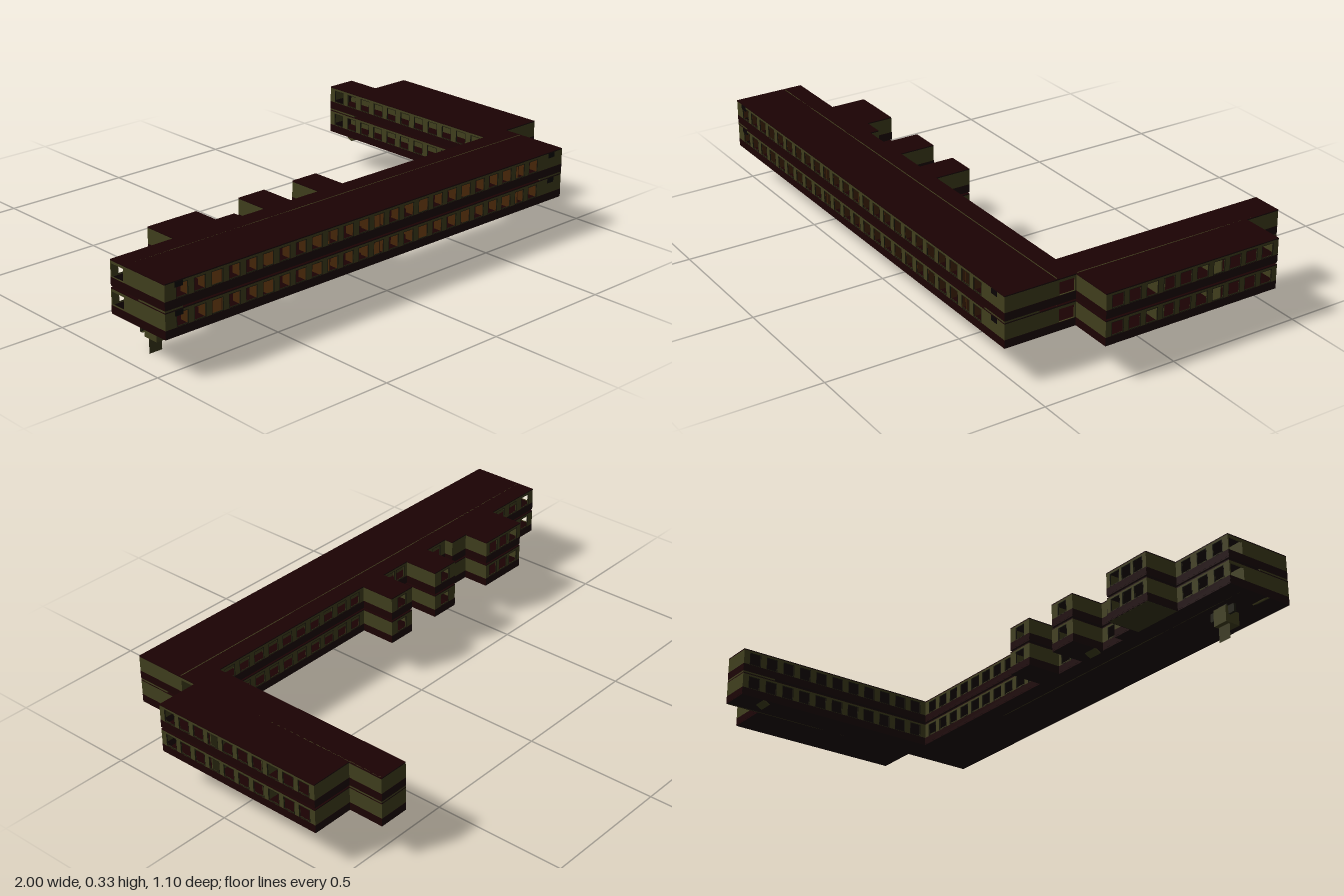
import * as THREE from 'three';

const mat = (name, color, side = THREE.FrontSide) => {
  const m = new THREE.MeshStandardMaterial({ color, side });
  m.name = name;
  return m;
};

export function createModel() {
  const olive = mat('olive wall', 0x403e1d);
  const maroon = mat('dark maroon', 0x1b0203);
  const frameDark = mat('dark frame', 0x1c1a0b);
  const brown = mat('brown wood', 0x452508);
  const black = mat('black vent', 0x0a0404);
  const oliveSheet = mat('olive sheet', 0x38361a, THREE.DoubleSide);

  const model = new THREE.Group();
  model.name = 'schoolBuilding';

  const add = (parent, name, geo, material) => {
    const m = new THREE.Mesh(geo, material);
    m.name = name;
    parent.add(m);
    return m;
  };
  // box given by its minimum and maximum corners
  const box = (parent, name, material, x0, x1, y0, y1, z0, z1) => {
    const m = add(parent, name, new THREE.BoxGeometry(x1 - x0, y1 - y0, z1 - z0), material);
    m.position.set((x0 + x1) / 2, (y0 + y1) / 2, (z0 + z1) / 2);
    return m;
  };
  const rect = (Type, x0, x1, y0, y1) => new Type([[x0, y0], [x1, y0], [x1, y1], [x0, y1]]
    .map(p => new THREE.Vector2(...p)));

  // flat panel with rectangular holes, outer face at z = 0
  const panel = (x0, x1, y0, y1, holes, depth) => {
    const s = rect(THREE.Shape, x0, x1, y0, y1);
    s.holes = holes.map(h => rect(THREE.Path, ...h));
    return new THREE.ExtrudeGeometry(s, { depth, bevelEnabled: false }).translate(0, 0, -depth);
  };

  // outline of the building as x, z, then the kind of wall that starts there
  const outline = [
    [-1, 0.545, 'front'], [0.84, 0.545, 'eastEnd'], [0.84, 0.275, ''], [1, 0.275, 'windows'],
    [1, -0.415, ''], [0.84, -0.415, ''], [0.84, -0.55, ''], [0.725, -0.55, 'windows'],
    [0.725, 0.275, 'windows'], [0, 0.275, ''], [0, 0.14, 'windows'], [-0.11, 0.14, ''],
    [-0.11, 0.275, 'windows'], [-0.24, 0.275, ''], [-0.24, 0.14, 'windows'], [-0.355, 0.14, ''],
    [-0.355, 0.275, 'windows'], [-0.46, 0.275, ''], [-0.46, 0.24, ''], [-0.54, 0.24, ''],
    [-0.54, 0.14, 'windows'], [-0.745, 0.14, ''], [-0.745, 0.275, 'windows'], [-1, 0.275, 'westEnd'],
  ];
  const plan = new THREE.Shape(outline.map(p => new THREE.Vector2(p[0], -p[1])));
  const slab = (parent, name, y, h) => {
    const geo = new THREE.ExtrudeGeometry(plan, { depth: h, bevelEnabled: false });
    add(parent, name, geo.rotateX(-Math.PI / 2), maroon).position.y = y;
  };

  const windowHoles = (start, end, y) => {
    const n = Math.max(1, Math.round((end - start) / 0.07));
    const step = (end - start) / n;
    return Array.from({ length: n }, (_, i) => {
      const c = start + (i + 0.5) * step;
      return [c - 0.023, c + 0.023, y + 0.032, y + 0.078];
    });
  };

  // corridor wall with a few gaps
  const spine = (parent, name, length, y, top, gaps) => {
    const holes = gaps.map(([c, w]) => [c - w / 2, c + w / 2, y + 0.028, y + 0.078]);
    return add(parent, name, panel(0, length, y, top, holes, 0.004), olive);
  };

  const storey = (name, y, top) => {
    const g = new THREE.Group();
    g.name = name;
    model.add(g);
    slab(g, 'floorSlab', y, 0.005);
    slab(g, 'ceilingSlab', top - 0.004, 0.004);

    // outside walls: maroon parapet below, olive wall with windows above
    outline.forEach(([x, z, kind], i) => {
      const [nx, nz] = outline[(i + 1) % outline.length];
      const len = Math.hypot(nx - x, nz - z);
      const wall = new THREE.Group();
      wall.name = 'outsideWall';
      wall.position.set(x, 0, z);
      wall.rotation.y = Math.atan2(z - nz, nx - x);
      g.add(wall);
      let holes = [];
      if (kind === 'front') holes = windowHoles(0.033, len - 0.12, y);
      if (kind === 'windows') holes = windowHoles(0.012, len - 0.012, y);
      box(wall, 'parapet', maroon, 0, len, y + 0.005, y + 0.03, -0.005, 0.0005);
      const frames = holes;
      if (kind === 'eastEnd') holes = [[len - 0.065, len - 0.005, y + 0.031, y + 0.077]];
      if (kind === 'westEnd') holes = [[0.005, 0.065, y + 0.031, y + 0.077]];
      add(wall, 'wallPanel', panel(0, len, y + 0.03, top - 0.004, holes, 0.005), olive);
      frames.forEach(([a, b, c, d]) => {
        const ring = panel(a - 0.001, b + 0.001, c - 0.001, d + 0.001,
          [[a + 0.001, b - 0.001, c + 0.001, d - 0.001]], 0.004);
        add(wall, 'windowFrame', ring, frameDark).position.z = 0.0005;
        // deep wooden jambs on the classroom side
        if (kind !== 'front') return;
        for (const u of [a + 0.0005, b - 0.0005]) {
          box(wall, 'windowJamb', brown, u - 0.001, u + 0.001, c, d, -0.035, -0.003);
        }
      });
    });

    // corridor walls of the long wing and the side wing
    const upper = y > 0.2;
    const longGaps = [[-0.86, 0.03], [-0.7, 0.015], [-0.61, 0.015], [-0.393, 0.03], [0.115, 0.03], [0.185, 0.02],
      upper ? [0.535, 0.025] : [0.685, 0.025]].map(([x, w]) => [x + 0.995, w]);
    spine(g, 'longCorridorWall', 1.83, y, top, longGaps).position.set(-0.995, 0, 0.348);
    const sideGaps = (upper ? [0.09, 0.01, -0.27, -0.345] : [-0.03, -0.115, -0.215])
      .map(z => [0.27 - z, 0.016]);
    const side = spine(g, 'sideCorridorWall', 0.815, y, top, sideGaps);
    side.rotation.y = Math.PI / 2;
    side.position.set(0.838, 0, 0.27);

    // partitions between rooms
    for (let i = 1; i < 8; i++) {
      const x = -1 + i * 0.23;
      box(g, 'roomPartition', brown, x - 0.002, x + 0.002, y + 0.005, top - 0.004, 0.348, 0.54);
    }
    for (const z of [0.045, -0.185]) {
      box(g, 'roomPartition', olive, 0.84, 0.995, y + 0.005, top - 0.004, z - 0.002, z + 0.002);
    }
    // small vents near the ends of the front
    for (const x of [-0.945, 0.782]) {
      box(g, 'vent', black, x - 0.016, x + 0.016, top - 0.022, top - 0.004, 0.543, 0.5462);
    }
  };
  storey('lowerStorey', 0.143, 0.233);
  storey('upperStorey', 0.239, 0.329);

  // blocks joining the two storeys
  box(model, 'cornerJoint', olive, 0.725, 0.84, 0.233, 0.239, 0.415, 0.545);
  box(model, 'wingEndJoint', olive, 0.725, 0.84, 0.233, 0.239, -0.55, -0.415);
  box(model, 'westJoint', olive, -1, -0.93, 0.233, 0.239, 0.415, 0.545);
  box(model, 'rearUnderside', oliveSheet, -0.742, -0.543, 0.1425, 0.1435, 0.143, 0.275);

  // sloping boards under the floor
  for (const [x, z, tilt] of [[-0.972, 0.442, -0.5], [-0.327, 0.25, 0.5], [0.755, -0.445, 0.5]]) {
    const b = add(model, 'entryRamp', new THREE.BoxGeometry(0.055, 0.005, 0.032), olive);
    b.position.set(x, 0.139, z);
    b.rotation.x = tilt;
  }

  // hanging post below the west end
  const post = new THREE.Group();
  post.name = 'hangingPost';
  model.add(post);
  box(post, 'postBody', olive, -0.915, -0.857, 0.055, 0.103, 0.355, 0.39);
  box(post, 'postBack', olive, -0.915, -0.857, 0.055, 0.115, 0.33, 0.355);
  box(post, 'postCrossbar', frameDark, -0.942, -0.83, 0.085, 0.115, 0.342, 0.352);
  box(post, 'postCap', frameDark, -0.905, -0.865, 0.103, 0.127, 0.345, 0.352);
  const foot = add(post, 'postFoot', new THREE.PlaneGeometry(0.052, 0.055), oliveSheet);
  foot.position.set(-0.886, 0.0275, 0.348);
  return model;
}
